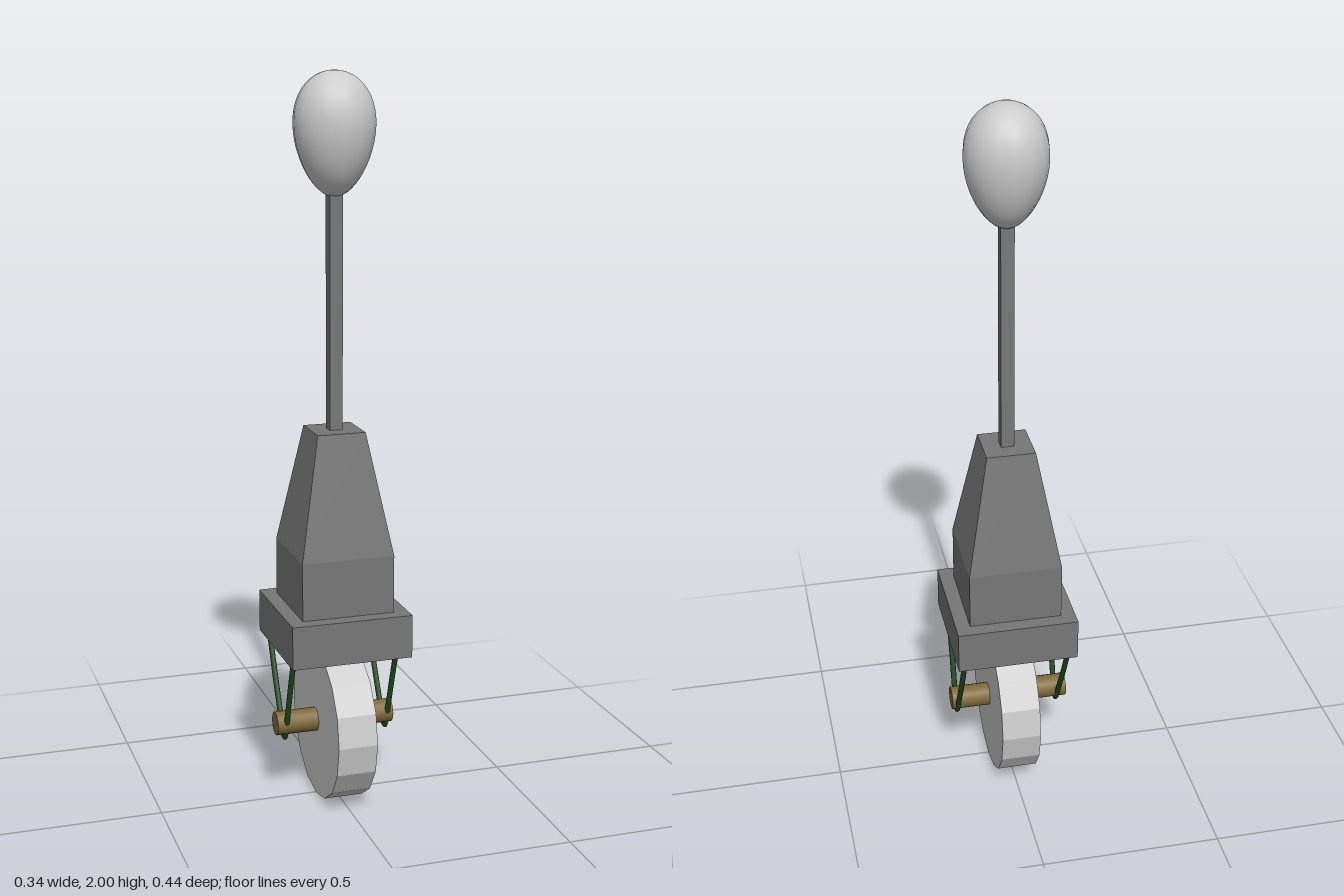
import * as THREE from 'three';

const material = (color, flatShading = true) =>
  new THREE.MeshStandardMaterial({ color, flatShading });

export function createModel() {
  const model = new THREE.Group();
  const pale = material(0xcccccc);
  const dark = material(0x777777);
  const wood = material(0x80693a, false);
  const green = material(0x1f4a1f, false);

  const add = (name, geometry, mat, x = 0, y = 0, z = 0) => {
    const mesh = new THREE.Mesh(geometry, mat);
    mesh.name = name;
    mesh.position.set(x, y, z);
    model.add(mesh);
    return mesh;
  };
  const box = (name, width, y0, y1) =>
    add(name, new THREE.BoxGeometry(width, y1 - y0, width), dark, 0, (y0 + y1) / 2, 0);

  // Wheel and axle, lying along x
  const wheel = new THREE.CylinderGeometry(0.218, 0.218, 0.11, 16).rotateZ(Math.PI / 2);
  add('wheel', wheel, pale, 0, 0.218, 0);
  const axle = new THREE.CylinderGeometry(0.033, 0.033, 0.337, 16).rotateZ(Math.PI / 2);
  add('axle', axle, wood, -0.0035, 0.222, -0.001);

  // Cords slung under the axle, one on each side of the wheel
  const cordPath = new THREE.CatmullRomCurve3([
    [0.452, 0.102], [0.35, 0.066], [0.225, 0.024], [0.19, 0.011], [0.179, 0.002],
    [0.187, -0.013], [0.225, -0.034], [0.33, -0.092], [0.452, -0.152],
  ].map(([y, z]) => new THREE.Vector3(0, y, z)));
  for (const [side, x] of [['left', 0.149], ['right', -0.146]]) {
    add(side + 'Cord', new THREE.TubeGeometry(cordPath, 40, 0.008, 8), green, x);
  }

  // Square base plate and block
  box('basePlate', 0.338, 0.44, 0.56);
  box('block', 0.258, 0.56, 0.72);

  // Tapered upper block: a four-sided cylinder turned to face the axes
  const taper = new THREE.CylinderGeometry(
    0.067 * Math.SQRT2, 0.129 * Math.SQRT2, 0.333, 4).rotateY(Math.PI / 4);
  add('taperedBlock', taper, dark, 0, 0.8865, 0);

  // Square rod, ending inside the knob
  box('rod', 0.036, 1.05, 1.70);

  // Egg-shaped knob, narrower toward the rod
  const profile = [];
  for (let i = 0; i <= 24; i++) {
    const a = Math.PI * (1 - i / 24);
    const r = 0.1075 * Math.sin(a) * (1 + 0.18 * Math.cos(a));
    profile.push(new THREE.Vector2(Math.max(r, 0), 1.8375 + 0.1625 * Math.cos(a)));
  }
  add('knob', new THREE.LatheGeometry(profile, 16), material(0xcccccc, false));

  return model;
}
